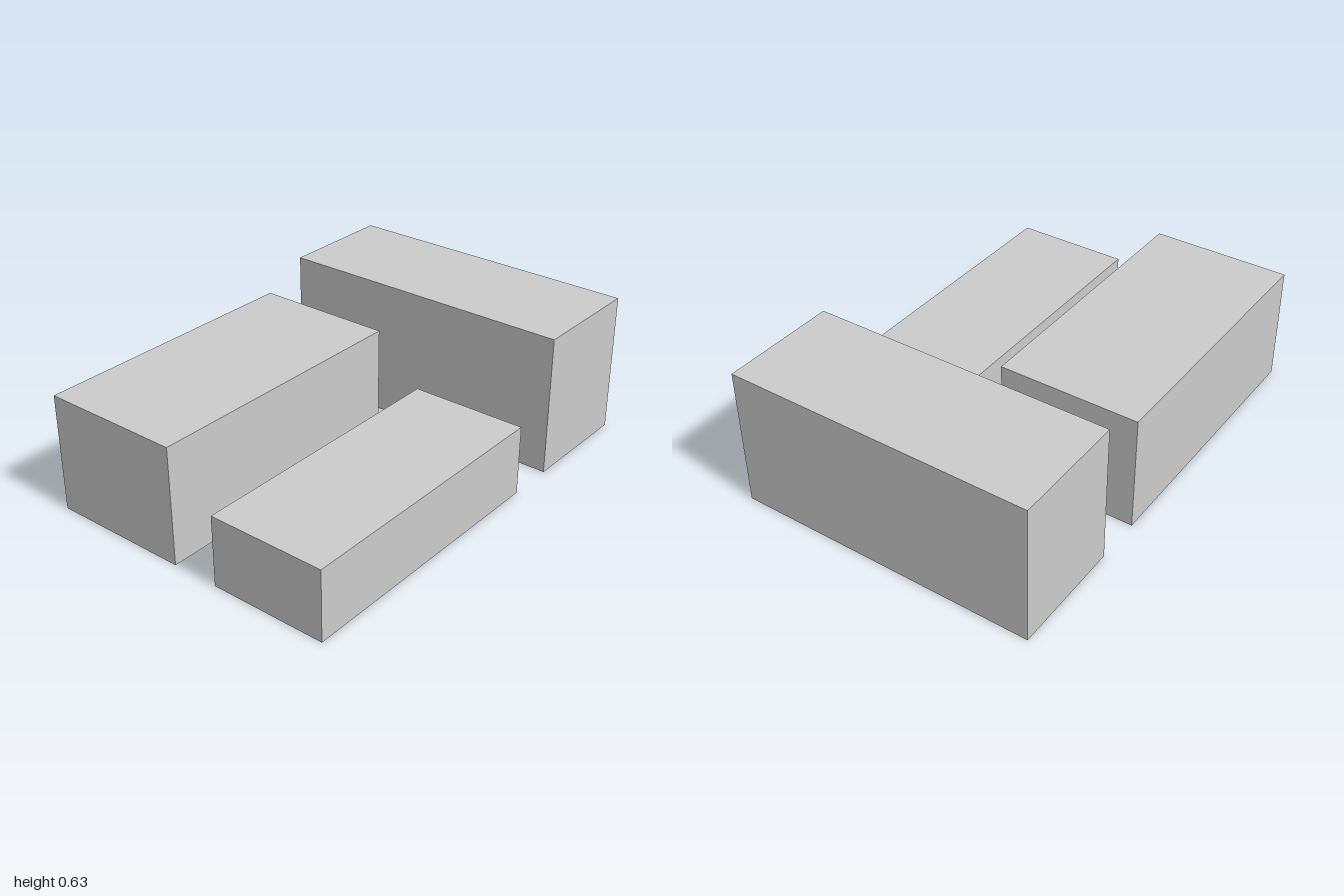
import * as THREE from 'three';

const UNIT = 2 / 19; // the model is 19 modules long and 13 deep

export function createModel() {
  const group = new THREE.Group();
  const material = new THREE.MeshStandardMaterial({ color: 0xcccccc, flatShading: true });

  // A block standing on the ground; x and z are its left/back corner, in modules
  function addBlock(name, x, z, width, height, depth) {
    const geometry = new THREE.BoxGeometry(width * UNIT, height * UNIT, depth * UNIT);
    const block = new THREE.Mesh(geometry, material);
    block.name = name;
    block.position.set(
      (x + width / 2 - 9.5) * UNIT,
      (height / 2) * UNIT,
      (z + depth / 2 - 6.5) * UNIT
    );
    group.add(block);
  }

  addBlock('backBlock', 0, 0, 12, 5, 6);
  addBlock('lowFrontBlock', 0, 8, 12, 3, 5);
  addBlock('tallSideBlock', 14, 0, 5, 6, 13);

  return group;
}
